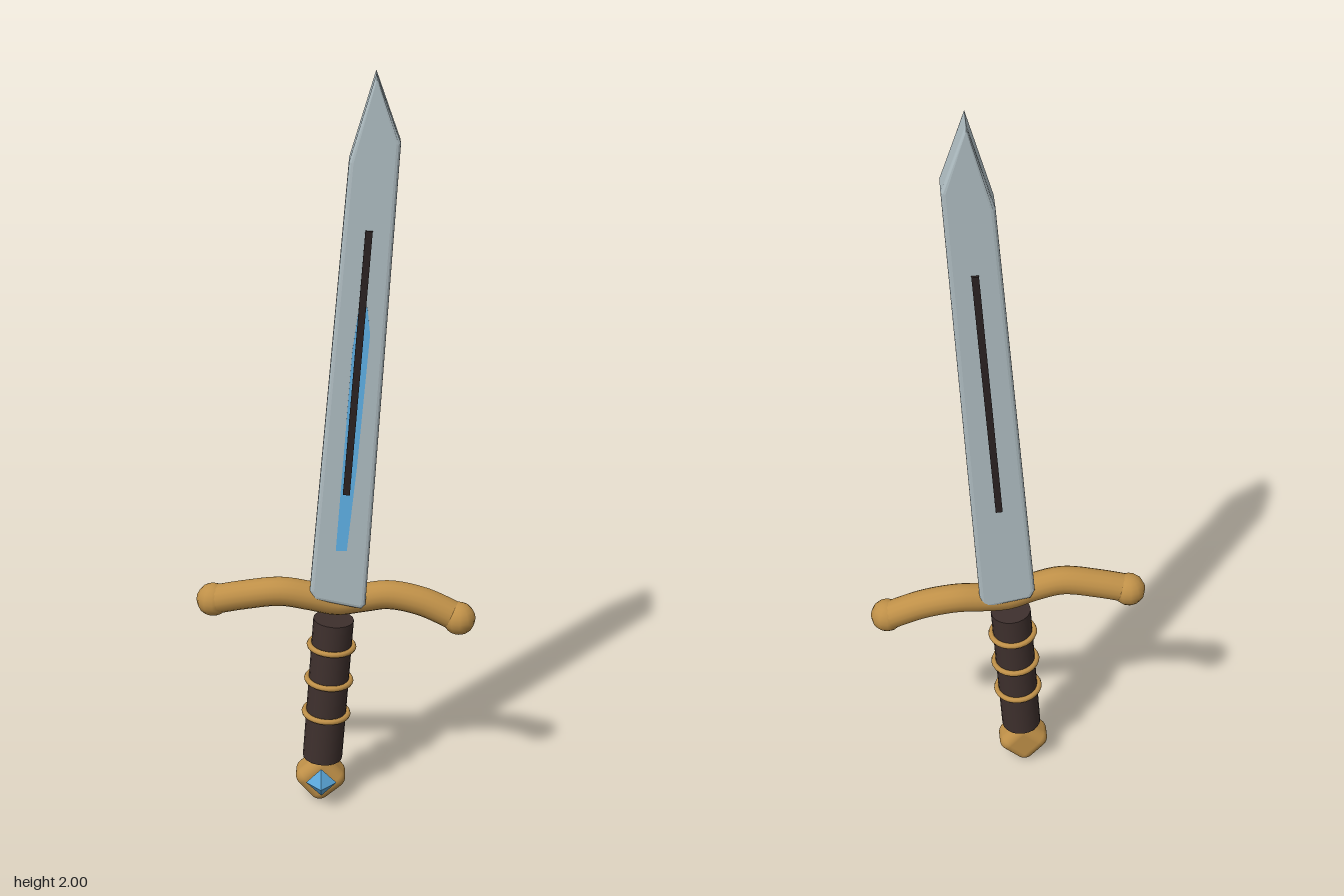
import * as THREE from 'three';
import { RoundedBoxGeometry } from 'three/addons/geometries/RoundedBoxGeometry.js';

const MID = -0.021; // depth of the sword's middle plane
const TILT = -0.074; // lean of the whole sword

export function createModel() {
  const sword = new THREE.Group();
  sword.name = 'sword';
  const paint = (color, flatShading = false) => new THREE.MeshStandardMaterial({ color, flatShading });
  const steel = paint(0xb0bec3);
  const gold = paint(0xbf9048);
  const leather = paint(0x3e302d);
  const dark = paint(0x2b2222);
  const blue = paint(0x5fb2e8);
  const crystal = paint(0x5aa5d8, true);

  function add(name, geometry, material, x = 0, y = 0, z = MID, parent = sword) {
    const mesh = new THREE.Mesh(geometry, material);
    mesh.name = name;
    mesh.position.set(x, y, z);
    parent.add(mesh);
    return mesh;
  }

  // Flat outline extruded about z = 0 with an inset bevel
  function plate(points, depth, bevel) {
    const shape = new THREE.Shape(points.map(([x, y]) => new THREE.Vector2(x, y)));
    return new THREE.ExtrudeGeometry(shape, {
      depth: depth - 2 * bevel, bevelEnabled: bevel > 0, bevelThickness: bevel,
      bevelSize: bevel, bevelOffset: -bevel, bevelSegments: 3,
    }).translate(0, 0, -depth / 2 + bevel);
  }

  // Blade: slightly uneven outline with a pointed tip
  add('blade', plate([
    [-0.06, 0.625], [0.066, 0.598], [0.077, 0.61], [0.155, 1.835],
    [0.095, 2.0], [0.03, 1.79], [-0.071, 0.65],
  ], 0.092, 0.011), steel);

  // Groove strip showing on both faces
  add('fuller', new THREE.BoxGeometry(0.018, 0.695, 0.108), dark, 0.0525, 1.277).rotation.z = -0.078;

  // Glowing inlay on the front face only
  add('inlay', plate([
    [-0.002, 0.77], [0.027, 0.77], [0.052, 1.0], [0.084, 1.36],
    [0.077, 1.43], [0.056, 1.43], [0.04, 1.32],
  ], 0.004, 0), blue, 0, 0, 0.0255);

  // Guard: wavy bar, bent in opposite directions on each side
  const guard = new THREE.Group();
  guard.name = 'guard';
  sword.add(guard);
  const bar = new THREE.CatmullRomCurve3([
    [-0.335, 0.606, -0.018], [-0.25, 0.624, -0.012], [-0.15, 0.637, -0.007],
    [-0.07, 0.622, -0.012], [0.0, 0.604, MID], [0.07, 0.609, -0.03],
    [0.14, 0.615, -0.036], [0.23, 0.597, -0.033], [0.33, 0.553, -0.024],
  ].map((p) => new THREE.Vector3(...p)));
  add('guardBar', new THREE.TubeGeometry(bar, 40, 0.039, 16), gold, 0, 0, 0, guard);
  for (const [name, x, y] of [['rightKnob', -0.333, 0.606], ['leftKnob', 0.33, 0.553]]) {
    add(name, new THREE.SphereGeometry(0.045, 12, 10), gold, x, y, MID, guard);
  }

  // Grip with three wire rings, built upright and then leaned
  const handle = new THREE.Group();
  handle.name = 'handle';
  handle.position.set(-0.024, 0.338, MID);
  handle.rotation.z = TILT;
  sword.add(handle);
  add('grip', new THREE.CylinderGeometry(0.055, 0.055, 0.424, 20), leather, 0, 0, 0, handle);
  for (const y of [-0.073, 0.03, 0.133]) {
    add('gripRing', new THREE.TorusGeometry(0.06, 0.008, 8, 24), gold, 0, y, 0, handle).rotation.x = Math.PI / 2;
  }

  // Pommel: rounded block standing on a corner, with a gem in front
  add('pommel', new RoundedBoxGeometry(0.115, 0.115, 0.092, 4, 0.03), gold, -0.045, 0.07).rotation.z = Math.PI / 4 + TILT;
  add('gem', new THREE.OctahedronGeometry(0.042), crystal, -0.042, 0.079, 0.045);

  return sword;
}
